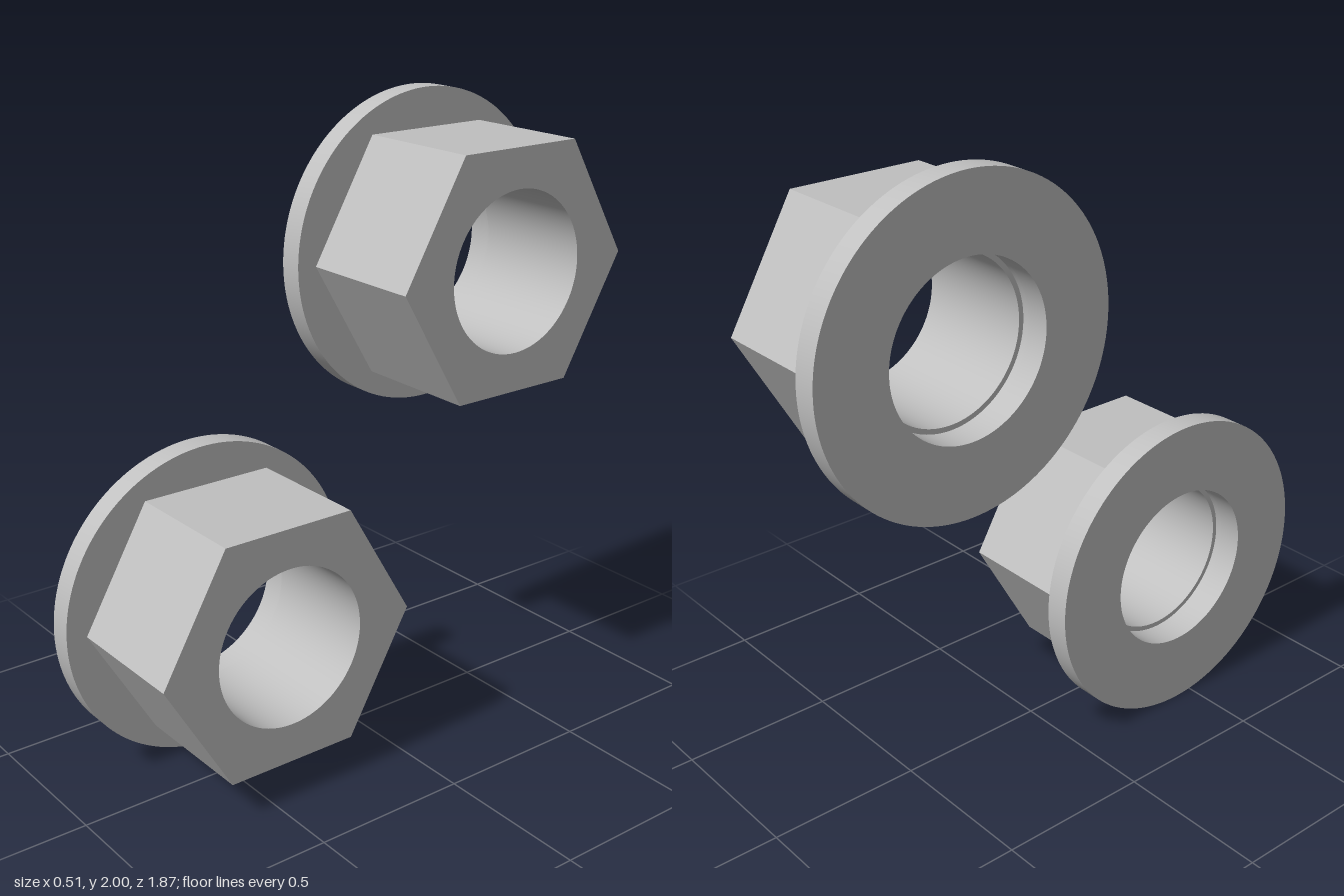
import * as THREE from 'three';
import { toCreasedNormals } from 'three/addons/utils/BufferGeometryUtils.js';

const steel = new THREE.MeshStandardMaterial({ color: 0xc0c0c0 });
steel.name = 'steel grey';

const FLANGE_RADIUS = 0.505, HEX_RADIUS = 0.438;
const BORE = 0.254, COUNTERBORE = 0.27;
const X_BACK = -0.253, X_FLANGE = -0.175, X_STEP = -0.153, X_TIP = 0.253;

function disc() {
  return new THREE.Shape().absarc(0, 0, FLANGE_RADIUS, 0, Math.PI * 2, false);
}

// Hexagon with two corners pointing along z once turned
function hexagon() {
  const points = [];
  for (let i = 0; i < 6; i++) {
    const a = (i * Math.PI) / 3;
    points.push(new THREE.Vector2(Math.cos(a) * HEX_RADIUS, Math.sin(a) * HEX_RADIUS));
  }
  return new THREE.Shape(points);
}

// Extrude an outline with a round hole along x, from x0 to x1
function ring(name, shape, hole, x0, x1) {
  shape.holes.push(new THREE.Path().absarc(0, 0, hole, 0, Math.PI * 2, true));
  const extruded = new THREE.ExtrudeGeometry(shape, {
    depth: x1 - x0, bevelEnabled: false, curveSegments: 72,
  });
  extruded.rotateY(Math.PI / 2).translate(x0, 0, 0);
  const mesh = new THREE.Mesh(toCreasedNormals(extruded, 0.5), steel);
  mesh.name = name;
  return mesh;
}

function flangeNut(name, y, z) {
  const nut = new THREE.Group();
  nut.name = name;
  nut.add(
    ring('flange', disc(), COUNTERBORE, X_BACK, X_FLANGE),
    // short wide-bored section, then the main body with the narrower bore
    ring('hexCollar', hexagon(), COUNTERBORE, X_FLANGE, X_STEP),
    ring('hexBody', hexagon(), BORE, X_STEP, X_TIP),
  );
  nut.position.set(0, y, z);
  return nut;
}

export function createModel() {
  const model = new THREE.Group();
  model.name = 'flangeNutPair';
  model.add(
    flangeNut('upperNut', 1.495, -0.428),
    flangeNut('lowerNut', 0.505, 0.428),
  );
  return model;
}
